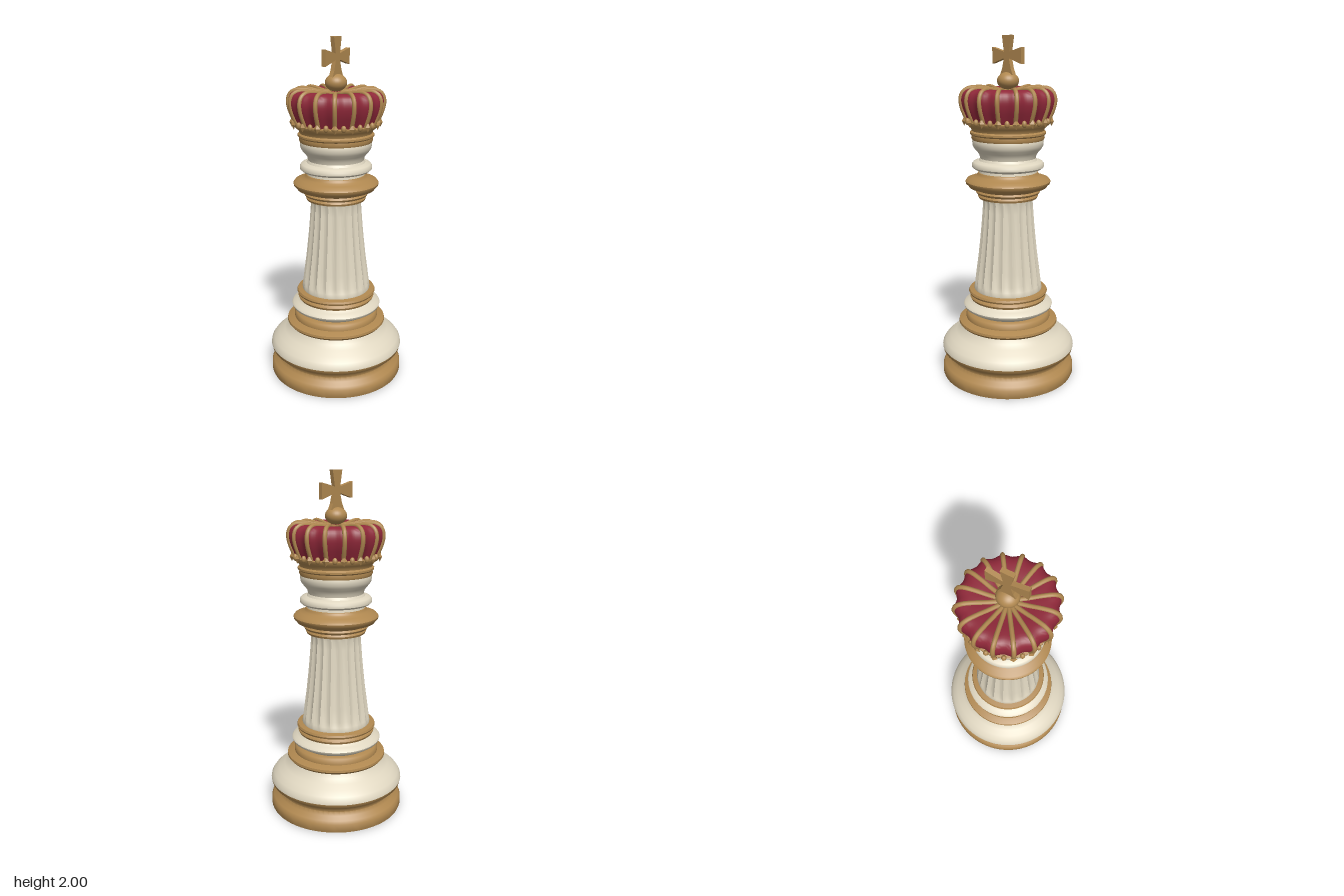
import * as THREE from 'three';
import { toCreasedNormals } from 'three/addons/utils/BufferGeometryUtils.js';

const material = (name, color) => {
  const m = new THREE.MeshStandardMaterial({ color });
  m.name = name;
  return m;
};

export function createModel() {
  const group = new THREE.Group();
  const gold = material('antique gold', 0xb08850);
  const cream = material('ivory', 0xe0d7c1);
  const red = material('crimson', 0x8f2839);

  const add = (name, geometry, mat, parent = group) => {
    const mesh = new THREE.Mesh(geometry, mat);
    mesh.name = name;
    parent.add(mesh);
    return mesh;
  };
  const lathe = (profile, segments = 72) =>
    new THREE.LatheGeometry(profile.map(([r, y]) => new THREE.Vector2(r, y)), segments);
  const turned = (name, mat, profile) => add(name, toCreasedNormals(lathe(profile), 0.75), mat);

  // Scales each vertex in x and z by a rule of angle and height
  const shapeRadius = (geometry, rule) => {
    const p = geometry.attributes.position;
    for (let i = 0; i < p.count; i++) {
      const x = p.getX(i), y = p.getY(i), z = p.getZ(i);
      const s = rule(Math.atan2(x, z), y);
      p.setXYZ(i, x * s, y, z * s);
    }
    return toCreasedNormals(geometry, 0.7);
  };

  // Foot, from the floor to the start of the shaft
  turned('basePlinth', gold, [[0, 0], [0.394, 0], [0.398, 0.01], [0.397, 0.05], [0.385, 0.067], [0.358, 0.085],
    [0.347, 0.105], [0.352, 0.125], [0.375, 0.143], [0.393, 0.155], [0.398, 0.175]]);
  turned('baseDome', cream, [[0.398, 0.175], [0.395, 0.192], [0.38, 0.214], [0.35, 0.24], [0.315, 0.262],
    [0.288, 0.283], [0.276, 0.305], [0.27, 0.315]]);
  turned('lowerRing', gold, [[0.265, 0.305], [0.285, 0.312], [0.296, 0.325], [0.294, 0.338], [0.27, 0.347],
    [0.252, 0.352], [0.252, 0.37], [0.243, 0.383], [0.225, 0.39], [0.205, 0.395]]);
  turned('lowerCollar', cream, [[0.2, 0.385], [0.222, 0.396], [0.24, 0.407], [0.262, 0.422], [0.266, 0.435],
    [0.258, 0.446], [0.235, 0.454], [0.22, 0.465], [0.205, 0.48]]);
  turned('shaftRing', gold, [[0.2, 0.465], [0.222, 0.47], [0.228, 0.483], [0.222, 0.495], [0.212, 0.5],
    [0.23, 0.504], [0.235, 0.515], [0.23, 0.526], [0.195, 0.532]]);

  // Shaft with twenty concave flutes that fade out at both ends
  const shaft = lathe([[0.2, 0.525], [0.203, 0.54], [0.2, 0.56], [0.196, 0.59], [0.187, 0.66], [0.176, 0.74],
    [0.166, 0.83], [0.157, 0.92], [0.15, 1.01], [0.146, 1.06], [0.147, 1.09]], 160);
  add('flutedShaft', shapeRadius(shaft, (a, y) => {
    const fade = Math.min(THREE.MathUtils.smoothstep(y, 0.53, 0.6), 1 - THREE.MathUtils.smoothstep(y, 1.05, 1.1));
    return 1 - 0.065 * fade * Math.abs(Math.sin(a * 10));
  }), cream);

  // Neck rings
  turned('upperCollar', gold, [[0.14, 1.08], [0.17, 1.085], [0.175, 1.097], [0.168, 1.108], [0.182, 1.113],
    [0.188, 1.124], [0.18, 1.134], [0.195, 1.14], [0.225, 1.15], [0.232, 1.162], [0.244, 1.172], [0.246, 1.185],
    [0.236, 1.198], [0.205, 1.208], [0.184, 1.218], [0.177, 1.225], [0.172, 1.234], [0.14, 1.238]]);
  turned('neck', cream, [[0.14, 1.23], [0.168, 1.236], [0.166, 1.25], [0.195, 1.257], [0.207, 1.268],
    [0.208, 1.284], [0.198, 1.297], [0.168, 1.305], [0.16, 1.318], [0.164, 1.336], [0.176, 1.355],
    [0.194, 1.375], [0.203, 1.392], [0.205, 1.415], [0.2, 1.43]]);
  turned('crownBand', gold, [[0.19, 1.42], [0.205, 1.424], [0.21, 1.435], [0.208, 1.45], [0.217, 1.458],
    [0.217, 1.468], [0.207, 1.476], [0.21, 1.488], [0.222, 1.5], [0.238, 1.514], [0.24, 1.526], [0.215, 1.532]]);

  // Cloth cushion, sagging between sixteen ribs
  const count = 16;
  const crownProfile = [[0.225, 1.52], [0.243, 1.56], [0.262, 1.61], [0.268, 1.655], [0.255, 1.692],
    [0.225, 1.71], [0.17, 1.71], [0.11, 1.7], [0.04, 1.695]];
  const crownCurve = new THREE.CatmullRomCurve3(crownProfile.map(([r, y]) => new THREE.Vector3(r, y, 0)));
  const cloth = lathe([[0.205, 1.49], ...crownCurve.getPoints(26).map(v => [v.x, v.y]), [0, 1.695]], 128);
  add('crownCushion', shapeRadius(cloth, a => 0.975 - 0.025 * Math.cos(a * count)), red);

  // Ribs with a jewel at each foot and a bead between neighbours
  const ribGeometry = new THREE.TubeGeometry(crownCurve, 32, 0.0125, 8);
  const jewelGeometry = new THREE.OctahedronGeometry(1, 0);
  const beadGeometry = new THREE.SphereGeometry(0.014, 10, 8);
  for (let i = 0; i < count; i++) {
    const section = new THREE.Group();
    section.name = 'crownSection';
    section.rotation.y = ((i + 0.5) / count) * Math.PI * 2;
    group.add(section);
    add('crownRib', ribGeometry, gold, section);
    const jewel = add('crownJewel', jewelGeometry, gold, section);
    jewel.scale.set(0.013, 0.027, 0.021);
    jewel.position.set(0.25, 1.532, 0);
    const half = Math.PI / count;
    const bead = add('crownBead', beadGeometry, gold, section);
    bead.position.set(0.241 * Math.cos(half), 1.533, 0.241 * Math.sin(half));
    bead.scale.y = 1.4;
  }

  // Orb and flared cross
  const orb = add('orb', new THREE.SphereGeometry(0.062, 32, 20), gold);
  orb.position.y = 1.752;
  orb.scale.y = 0.78;
  const outline = [[-0.05, 1.785], [0.05, 1.785], [0.034, 1.82], [0.02, 1.874], [0.115, 1.845], [0.115, 1.935],
    [0.02, 1.91], [0.036, 2], [-0.036, 2], [-0.02, 1.91], [-0.115, 1.935], [-0.115, 1.845], [-0.02, 1.874],
    [-0.034, 1.82]];
  const cross = new THREE.ExtrudeGeometry(new THREE.Shape(outline.map(([x, y]) => new THREE.Vector2(x, y))),
    { depth: 0.026, bevelEnabled: false });
  add('cross', cross.translate(0, 0, -0.013), gold);

  return group;
}
